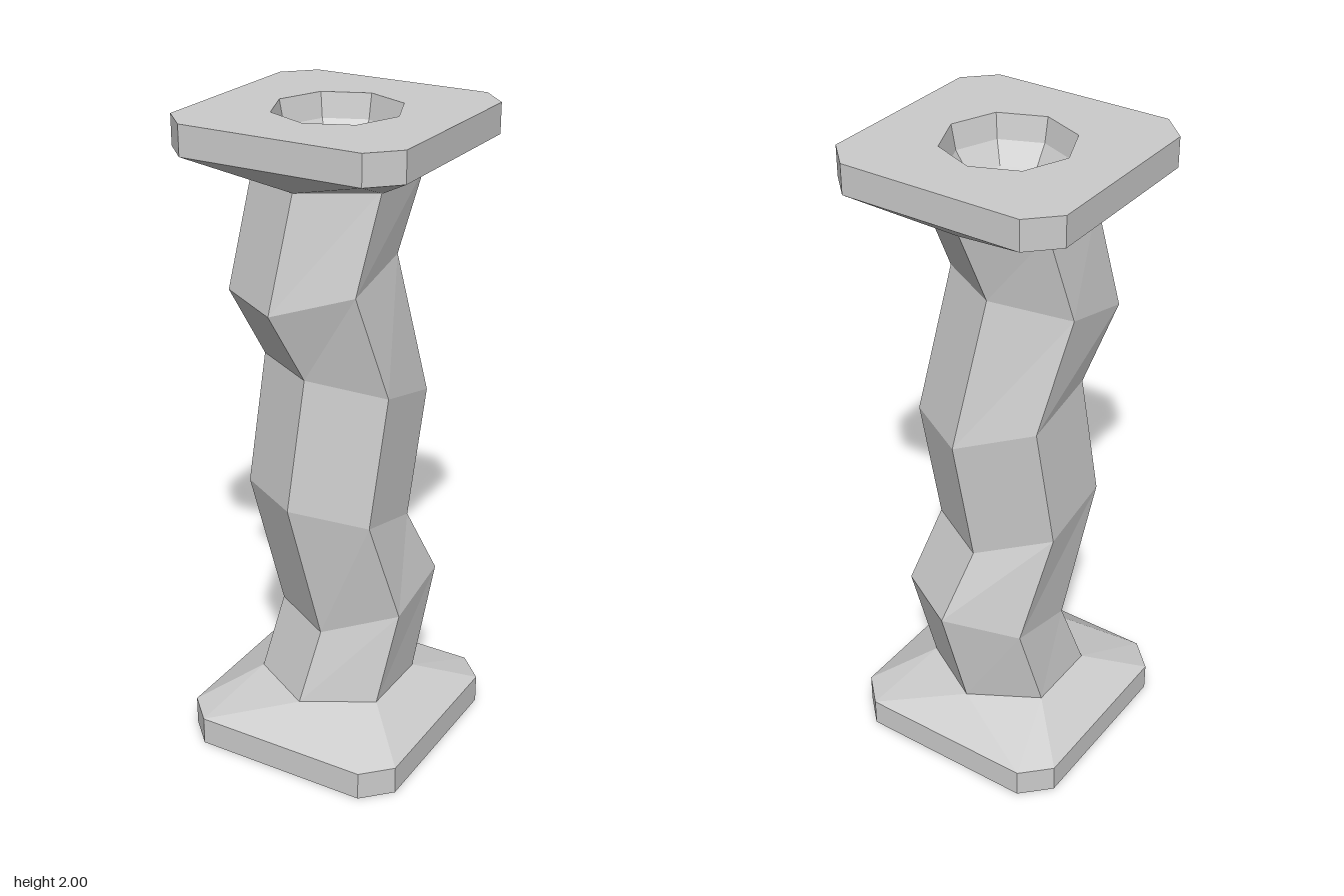
import * as THREE from 'three';

const material = new THREE.MeshStandardMaterial({
  color: 0xcccccc, flatShading: true, side: THREE.DoubleSide,
});

const HEIGHT = 2, RIM = 0.09, NECK = 0.18;
const HALF = 0.363, CUT = 0.28, HEX = 0.24, BOWL = 0.19;

// Square with cut corners, as [x, z], counter-clockwise seen from above
const octagon = [
  [-CUT, HALF], [CUT, HALF], [HALF, CUT], [HALF, -CUT],
  [CUT, -HALF], [-CUT, -HALF], [-HALF, -CUT], [-HALF, CUT],
];

// Hexagon ring with a point to the front, sheared so that it tilts in x and z
function hexRing(x, y, z, tiltX = 0, tiltZ = 0) {
  return Array.from({ length: 6 }, (_, i) => {
    const dx = HEX * Math.sin(i * Math.PI / 3), dz = HEX * Math.cos(i * Math.PI / 3);
    return [x + dx, y + dx * tiltX + dz * tiltZ, z + dz];
  });
}

// Mesh from flat polygons, each split as a fan
function facetMesh(name, faces) {
  const positions = [];
  for (const f of faces) {
    for (let i = 1; i < f.length - 1; i++) positions.push(...f[0], ...f[i], ...f[i + 1]);
  }
  const geometry = new THREE.BufferGeometry();
  geometry.setAttribute('position', new THREE.Float32BufferAttribute(positions, 3));
  geometry.computeVertexNormals();
  return named(name, geometry);
}

function named(name, geometry) {
  const mesh = new THREE.Mesh(geometry, material);
  mesh.name = name;
  return mesh;
}

// Band of quads between two rings with the same number of corners
function band(lower, upper) {
  return lower.map((p, i) => {
    const j = (i + 1) % lower.length;
    return [p, lower[j], upper[j], upper[i]];
  });
}

// Hollow plinth: upright rim, then a faceted slope from octagon to hexagon
function plinth(name) {
  const foot = octagon.map(([x, z]) => [x, 0, z]);
  const edge = octagon.map(([x, z]) => [x, RIM, z]);
  const neck = hexRing(0, NECK, 0);
  const slope = [];
  for (const half of [0, 1]) {
    const o = (i) => edge[(i + half * 4) % 8];
    const h = (i) => neck[(i + half * 3) % 6];
    slope.push(
      [o(0), o(1), h(0)], [o(1), h(1), h(0)], [o(1), o(2), h(1)],
      [o(2), o(3), h(2), h(1)], [o(3), o(4), h(2)], [o(4), h(3), h(2)],
    );
  }
  const group = new THREE.Group();
  group.name = name;
  group.add(facetMesh('rim', band(foot, edge)), facetMesh('slope', slope));
  return group;
}

export function createModel() {
  const model = new THREE.Group();
  model.name = 'crookedPedestal';

  // Open base, and the same part turned over as the capital
  const base = plinth('base');
  const capital = plinth('capital');
  capital.rotation.x = Math.PI;
  capital.position.y = HEIGHT;
  model.add(base, capital);

  // Crooked hexagonal shaft through tilted rings
  const rings = [
    hexRing(0, NECK, 0),
    hexRing(0.036, 0.465, -0.072, 0.13, -0.24),
    hexRing(-0.015, 0.803, 0.029, -0.14, 0.245),
    hexRing(0.013, 1.207, -0.027, -0.14, 0.245),
    hexRing(-0.038, 1.542, 0.077, 0.12, -0.245),
    hexRing(0, HEIGHT - NECK + 0.01, 0),
  ];
  const shaftFaces = [];
  for (let i = 0; i < rings.length - 1; i++) shaftFaces.push(...band(rings[i], rings[i + 1]));
  model.add(facetMesh('shaft', shaftFaces));

  // Flat top with an eight-sided opening
  const shape = new THREE.Shape(octagon.map(([x, z]) => new THREE.Vector2(x, -z)));
  const hole = Array.from({ length: 8 }, (_, i) => new THREE.Vector2(
    BOWL * Math.cos(i * Math.PI / 4), BOWL * Math.sin(i * Math.PI / 4)));
  shape.holes.push(new THREE.Path(hole));
  const top = named('topPlate', new THREE.ShapeGeometry(shape));
  top.rotation.x = -Math.PI / 2;
  top.position.y = HEIGHT;

  // Half-sphere bowl sunk into the top
  const bowl = named('bowl', new THREE.SphereGeometry(
    BOWL, 8, 4, 0, Math.PI * 2, Math.PI / 2, Math.PI / 2));
  bowl.position.y = HEIGHT;
  model.add(top, bowl);

  return model;
}
